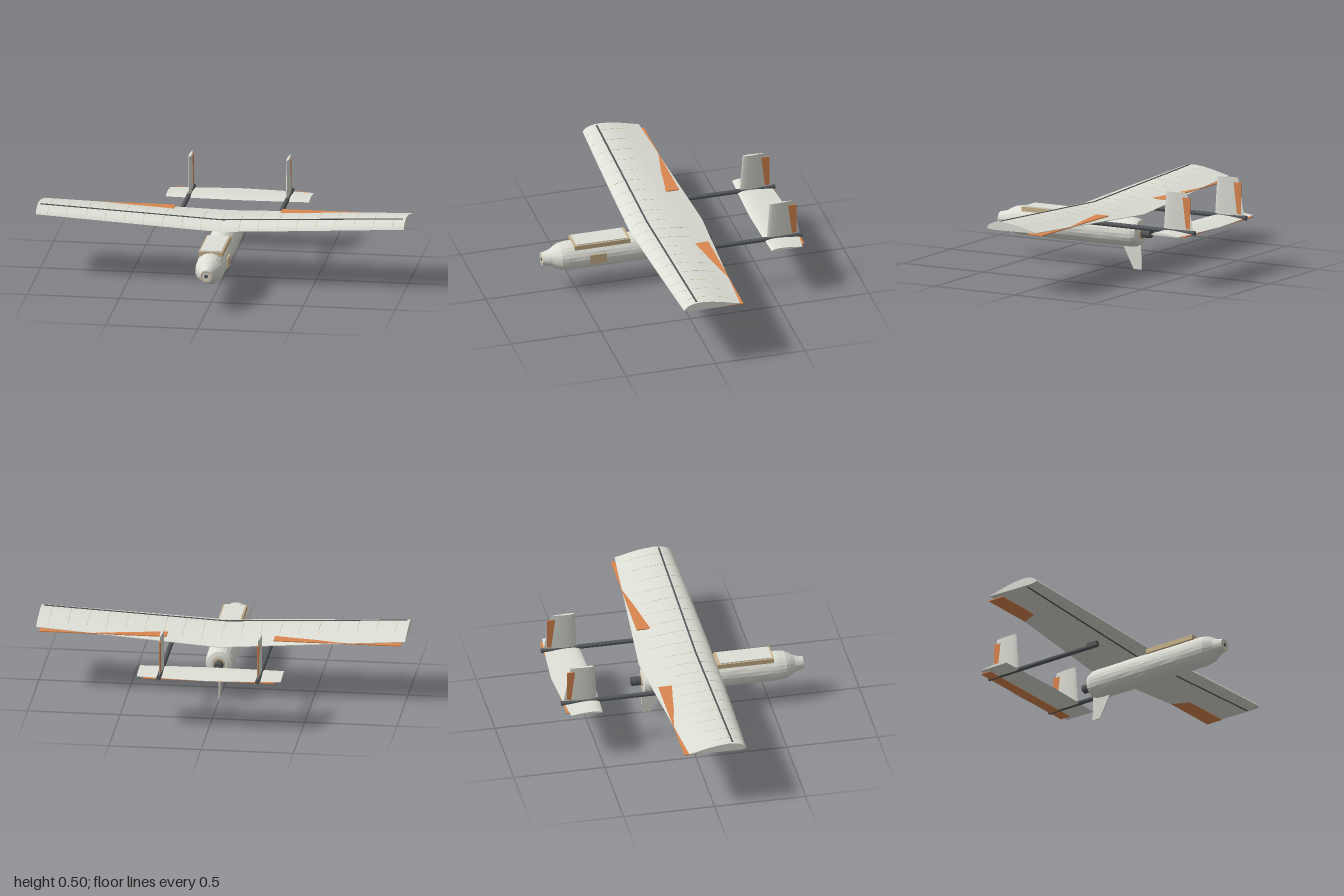
import * as THREE from 'three';
import { toCreasedNormals } from 'three/addons/utils/BufferGeometryUtils.js';

const mat = (color, opts = {}) => new THREE.MeshStandardMaterial({ color, ...opts });
const skin = mat(0xdedfd6);
const hull = mat(0xdedfd6, { flatShading: true });
const dark = mat(0x55585a);
const orange = mat(0xdc8850);
const wood = mat(0xccb48c);

export function createModel() {
  const model = new THREE.Group();

  const add = (name, geometry, material, x = 0, y = 0, z = 0) => {
    const mesh = new THREE.Mesh(geometry, material);
    mesh.name = name;
    mesh.position.set(x, y, z);
    model.add(mesh);
    return mesh;
  };
  // Box given by its limits on each axis
  const block = (name, material, [x0, x1], [y0, y1], [z0, z1]) =>
    add(name, new THREE.BoxGeometry(x1 - x0, y1 - y0, z1 - z0), material,
      (x0 + x1) / 2, (y0 + y1) / 2, (z0 + z1) / 2);
  // Cylinder lying along z
  const rod = (name, material, r, z0, z1, x, y, sides = 20) =>
    add(name, new THREE.CylinderGeometry(r, r, Math.abs(z1 - z0), sides).rotateX(Math.PI / 2),
      material, x, y, (z0 + z1) / 2);

  // Wing: swept edges, shallow dihedral, ribs showing through the skin
  const wingSection = (x, extra = 0) => {
    const a = Math.abs(x);
    const lead = 0.2 - 0.025 * a ** 1.3, trail = -0.21 + 0.072 * a;
    return airfoil(lead, trail, 0.046 + extra, 0.003).map(
      ([z, y]) => new THREE.Vector3(x, 0.297 + 0.048 * a + y - extra / 2, z));
  };
  add('wing', loft([-1, -0.75, -0.5, -0.25, 0, 0.25, 0.5, 0.75, 1].map(x => wingSection(x))), skin);
  for (let i = -9; i <= 9; i++) {
    const x = i * 0.104;
    add('wingRib', loft([x - 0.001, x + 0.001].map(v => wingSection(v, 0.0008))), wood);
  }

  // Tailplane
  add('tailplane', loft([-0.39, -0.2, 0, 0.2, 0.39].map(x => {
    const k = (Math.abs(x) / 0.39) ** 1.4;
    return airfoil(-0.475 - 0.013 * k, -0.693 + 0.032 * k, 0.013, 0.002).map(
      ([z, y]) => new THREE.Vector3(x, 0.279 + y, z));
  })), skin);
  block('elevator', orange, [-0.357, 0.357], [0.276, 0.281], [-0.68, -0.62]);

  for (const s of [-1, 1]) {
    // Spar strip following the dihedral
    const spar = [0, 0.985].map(a => {
      const y = 0.295 + 0.048 * a;
      return [[0.097, y], [0.097, y + 0.051], [0.106, y + 0.051], [0.106, y]].map(
        ([z, h]) => new THREE.Vector3(s * a, h, z));
    });
    add('wingSpar', loft(spar), dark);

    // Level aileron slab that cuts through the sloping wing
    const x = [0.29 * s, 0.98 * s].sort((a, b) => a - b);
    block('aileron', orange, x, [0.333, 0.338], [-0.162, -0.068]);

    // Tail boom with its front clamp
    rod('tailBoom', dark, 0.0125, 0.037, -0.692, 0.268 * s, 0.287);
    block('boomClamp', dark, [0.268 * s - 0.011, 0.268 * s + 0.011], [0.285, 0.308], [-0.03, 0.035]);

    // Tail fin and rudder
    add('tailFin', loft([0.28, 0.503].map((y, i) => {
      const lead = [-0.495, -0.51][i], trail = [-0.682, -0.64][i];
      return lens(lead, trail, 0.015).map(([z, t]) => new THREE.Vector3(0.266 * s + t, y, z));
    })), skin);
    block('rudder', orange, [0.266 * s - 0.0035, 0.266 * s + 0.0035], [0.305, 0.477], [-0.66, -0.61]);
  }

  // Fuselage: slightly uneven tube with a necked nose
  const profile = [[0, 0.69], [0.034, 0.69], [0.039, 0.665], [0.047, 0.64], [0.062, 0.615],
    [0.074, 0.59], [0.079, 0.55], [0.08, 0.47], [0.08, 0.38], [0.08, 0.29], [0.08, 0.2],
    [0.08, 0.11], [0.08, 0.02], [0.08, -0.06], [0.08, -0.13], [0.077, -0.165],
    [0.068, -0.19], [0.045, -0.197], [0, -0.197]];
  const body = new THREE.LatheGeometry(
    profile.map(([r, z]) => new THREE.Vector2(r, z)).reverse(), 24).rotateX(Math.PI / 2);
  const p = body.attributes.position;
  for (let i = 0; i < p.count; i++) {
    const angle = Math.atan2(p.getY(i), p.getX(i)), z = p.getZ(i);
    const k = 0.985 + 0.016 * Math.sin(5 * Math.round(angle * 100) / 100 + 37 * z) * Math.cos(3 * angle - 61 * z);
    p.setXY(i, p.getX(i) * k, p.getY(i) * k * 1.025);
  }
  body.computeVertexNormals();
  add('fuselage', body, hull, 0, 0.202, 0);

  // Nose ring and lens
  add('noseRing', new THREE.TorusGeometry(0.026, 0.003, 8, 24), wood, 0, 0.202, 0.689);
  rod('noseLens', dark, 0.01, 0.685, 0.692, 0, 0.202);

  // Motor at the tail end
  rod('motorMount', wood, 0.034, -0.19, -0.202, 0, 0.202);
  rod('motor', dark, 0.0245, -0.2, -0.255, 0, 0.202);

  // Top hatch with its frame, and the side panel
  block('hatchFrame', wood, [-0.065, 0.065], [0.262, 0.287], [0.21, 0.52]);
  block('hatch', skin, [-0.057, 0.057], [0.28, 0.292], [0.225, 0.51]);
  block('sidePanel', wood, [0.06, 0.082], [0.175, 0.228], [0.347, 0.437]);

  // Ventral fin
  const outline = new THREE.Shape(
    [[-0.075, 0.135], [-0.147, 0], [-0.196, 0], [-0.193, 0.135]].map(([z, y]) => new THREE.Vector2(-z, y)));
  add('ventralFin', new THREE.ExtrudeGeometry(outline, { depth: 0.006, bevelEnabled: false })
    .rotateY(Math.PI / 2), skin, -0.003);

  return model;
}

// Flat-bottomed wing section as [z, height] points, round the loop
function airfoil(lead, trail, thick, edge) {
  const steps = [0, 0.02, 0.06, 0.13, 0.22, 0.33, 0.5, 0.7, 0.87, 1];
  const rise = t => thick * (2.969 * Math.sqrt(t) - 1.26 * t - 3.516 * t ** 2 + 2.843 * t ** 3 - 1.036 * t ** 4);
  const z = t => lead + (trail - lead) * t;
  const base = t => thick * (0.18 * Math.max(0, 1 - t / 0.12) ** 2 + 0.1 * t * t);
  const top = steps.map(t => [z(t), Math.max(base(t), rise(t)) + edge * t]);
  const bottom = steps.slice(1).reverse().map(t => [z(t), base(t)]);
  return [...top, ...bottom];
}

// Symmetric fin section as [z, offset] points
function lens(lead, trail, thick) {
  const steps = [0, 0.04, 0.14, 0.3, 0.5, 0.75, 1];
  const half = t => thick * (1.4845 * Math.sqrt(t) - 0.63 * t - 1.758 * t ** 2 + 1.4215 * t ** 3 - 0.518 * t ** 4);
  const side = (list, s) => list.map(t => [lead + (trail - lead) * t, s * half(t)]);
  return [...side(steps, 1), ...side(steps.slice(1, -1).reverse(), -1)];
}

// Closed solid through a row of matching cross-sections
function loft(sections) {
  const n = sections[0].length, faces = [];
  for (let i = 0; i + 1 < sections.length; i++) {
    for (let j = 0; j < n; j++) {
      const k = (j + 1) % n, a = sections[i], b = sections[i + 1];
      faces.push([a[j], a[k], b[k]], [a[j], b[k], b[j]]);
    }
  }
  const cap = (ring, flip) => {
    const mid = ring.reduce((sum, v) => sum.add(v), new THREE.Vector3()).divideScalar(n);
    ring.forEach((v, j) => {
      const w = ring[(j + 1) % n];
      faces.push(flip ? [mid, w, v] : [mid, v, w]);
    });
  };
  cap(sections[0], true);
  cap(sections[sections.length - 1], false);
  // Turn the faces outward if the volume comes out negative
  const origin = sections[0][0];
  const volume = faces.reduce((sum, [a, b, c]) => sum + a.clone().sub(origin)
    .dot(b.clone().sub(origin).cross(c.clone().sub(origin))), 0);
  const points = faces.flatMap(f => (volume < 0 ? [f[0], f[2], f[1]] : f));
  const geometry = new THREE.BufferGeometry().setFromPoints(points);
  return toCreasedNormals(geometry, 0.6);
}
